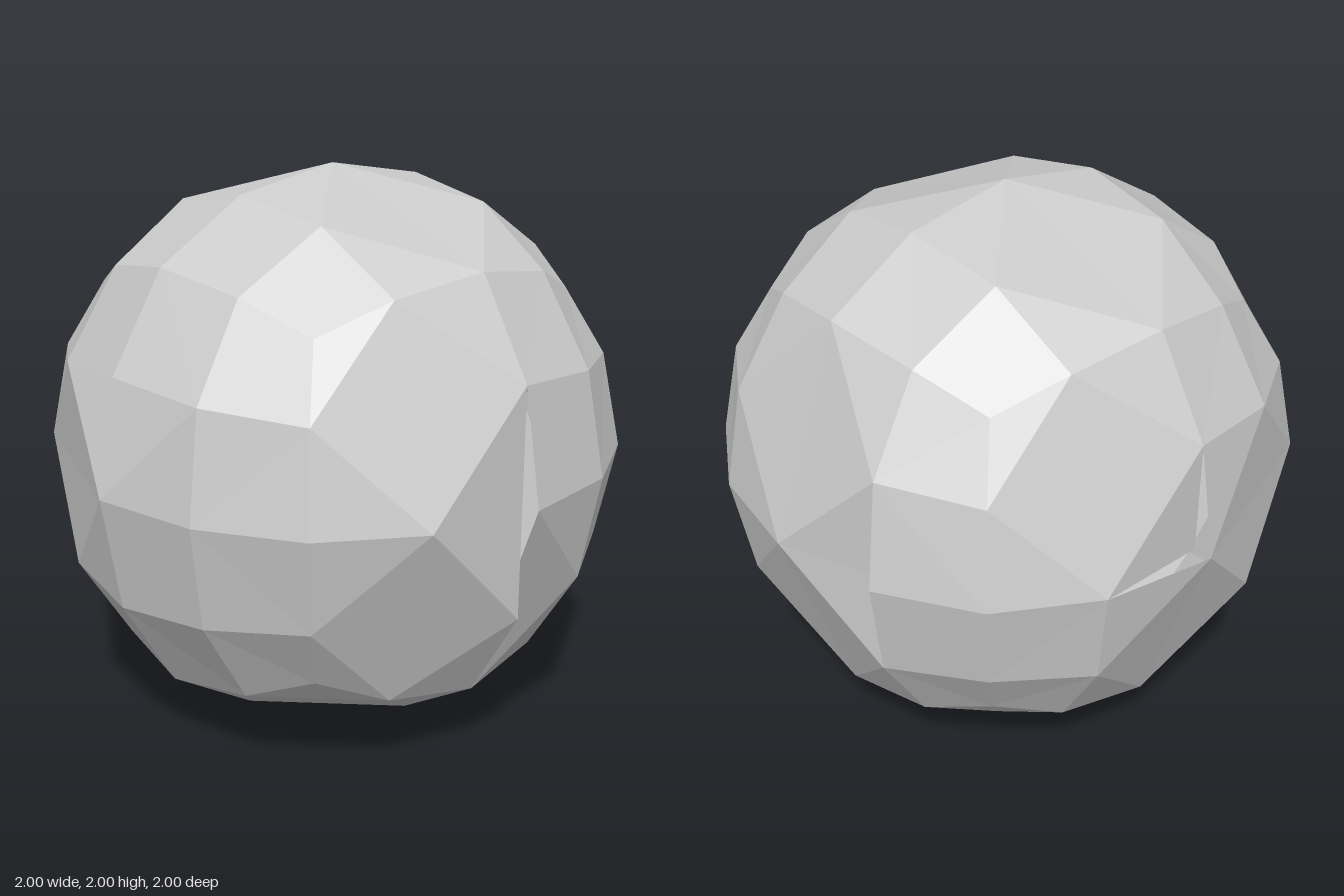
import * as THREE from 'three';

// One quarter of a cube-sphere face: (i, j) steps from the face centre -> [along i, along j, outwards]
const GRID = {
  '00': [0, 0, 1], '10': [0.4, 0, 0.93], '20': [0.73, 0, 0.73],
  '11': [0.37, 0.37, 0.87], '21': [0.68, 0.34, 0.68], '22': [0.577, 0.577, 0.577],
  'xx': [0, 0, 0.93], // sunken centre behind a chipped quarter
};

// Facets of half a quarter, as triples of grid keys
const HALF = {
  P: ['00 10 11', '10 21 11', '10 20 21', '11 21 22'], // full
  C: ['00 20 11', '11 20 21', '11 21 22'],             // flattened
  S: ['00 20 11', '11 20 21', '11 21 22', '10 20 11'], // flattened with a raised flap
};
// Facets of a chipped quarter
const CHIP = ['10 20 21', '01 02 12', '10 21 12', '10 12 01', '21 22 12', 'xx 10 01'];

// Each face: axis, sign, kinds of its +u, -u, +v, -v sectors, chipped quarters (signs of u and v)
const FACES = [
  ['rightLeftFacet', 0, 1, 'CCPS', []],
  ['rightFacet', 0, -1, 'SPPC', []],
  ['topFacet', 1, 1, 'CCPP', []],
  ['bottomFacet', 1, -1, 'PPSP', ['1,-1']],
  ['frontFacet', 2, 1, 'PPPC', ['-1,1', '-1,-1']],
  ['backFacet', 2, -1, 'PCPC', ['1,1']],
];
FACES[0][0] = 'leftFacet';

const swapKey = (k) => k[1] + k[0];

function gridPoint(key) {
  if (GRID[key]) return GRID[key];
  const [a, b, c] = GRID[swapKey(key)];
  return [b, a, c];
}

function faceGeometry(axis, sign, kinds, chips) {
  const positions = [];
  const normal = new THREE.Vector3();
  const addTriangles = (list, su, sv, swap) => {
    for (const triple of list) {
      const pts = triple.split(' ').map((key) => {
        const [a, b, c] = gridPoint(swap ? swapKey(key) : key);
        const p = new THREE.Vector3();
        p.setComponent(axis, sign * c);
        p.setComponent((axis + 1) % 3, su * a);
        p.setComponent((axis + 2) % 3, sv * b);
        return p;
      });
      // Turn every facet outwards
      normal.subVectors(pts[1], pts[0]).cross(pts[2].clone().sub(pts[0]));
      if (normal.dot(pts[0]) < 0) pts.reverse();
      for (const p of pts) positions.push(p.x, p.y + 1, p.z);
    }
  };
  for (const su of [1, -1]) {
    for (const sv of [1, -1]) {
      if (chips.includes(`${su},${sv}`)) {
        addTriangles(CHIP, su, sv, false);
      } else {
        addTriangles(HALF[kinds[su > 0 ? 0 : 1]], su, sv, false);
        addTriangles(HALF[kinds[sv > 0 ? 2 : 3]], su, sv, true);
      }
    }
  }
  const geometry = new THREE.BufferGeometry();
  geometry.setAttribute('position', new THREE.Float32BufferAttribute(positions, 3));
  geometry.computeVertexNormals();
  return geometry;
}

export function createModel() {
  const group = new THREE.Group();
  group.name = 'facetedBall';
  const material = new THREE.MeshStandardMaterial({
    color: 0xcccccc, flatShading: true, side: THREE.DoubleSide,
  });
  for (const [name, axis, sign, kinds, chips] of FACES) {
    const mesh = new THREE.Mesh(faceGeometry(axis, sign, kinds, chips), material);
    mesh.name = name;
    group.add(mesh);
  }
  return group;
}
